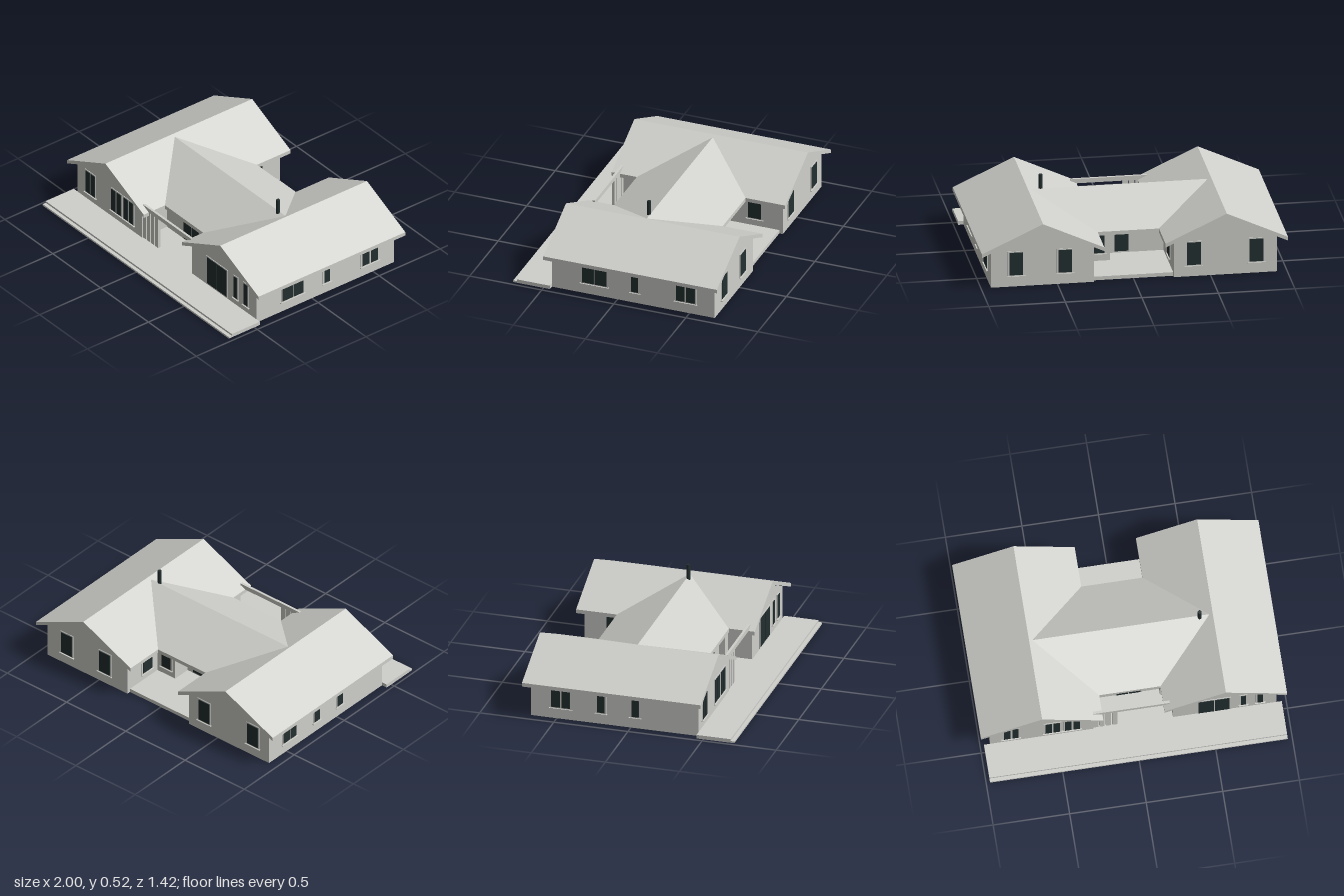
import * as THREE from 'three';

export function createModel() {
  const house = new THREE.Group();
  house.name = 'house';
  const plaster = new THREE.MeshStandardMaterial({ color: 0xcfcfcb });
  plaster.name = 'light grey';
  const glass = new THREE.MeshStandardMaterial({ color: 0x232f2f });
  glass.name = 'dark glass';

  const add = (name, geo, mat = plaster, parent = house) => {
    const m = new THREE.Mesh(geo, mat);
    m.name = name;
    parent.add(m);
    return m;
  };
  // Box given by its extents along each axis
  const block = (name, x0, x1, y0, y1, z0, z1, mat, parent) => {
    const m = add(name, new THREE.BoxGeometry(x1 - x0, y1 - y0, z1 - z0), mat, parent);
    m.position.set((x0 + x1) / 2, (y0 + y1) / 2, (z0 + z1) / 2);
    return m;
  };
  // Outline in x, y pushed along z
  const prism = (name, points, z0, z1) => {
    const shape = new THREE.Shape(points.map(([x, y]) => new THREE.Vector2(x, y)));
    const geo = new THREE.ExtrudeGeometry(shape, { depth: z1 - z0, bevelEnabled: false });
    geo.translate(0, 0, z0);
    return add(name, geo);
  };
  const chevron = (c, half, eave, ridge, t) => [
    [c - half, eave - t], [c, ridge - t], [c + half, eave - t],
    [c + half, eave], [c, ridge], [c - half, eave],
  ];

  // Two gabled wings
  for (const s of [-1, 1]) {
    const side = s > 0 ? 'left' : 'right';
    const outline = [[0.26, 0], [0.935, 0], [0.935, 0.25], [0.6, 0.405], [0.26, 0.25]];
    const pts = outline.map(([x, y]) => [x * s, y]);
    prism(side + 'WingWalls', s > 0 ? pts : pts.reverse(), -0.675, 0.455);
    prism(side + 'WingRoof', chevron(0.6 * s, 0.4, 0.25, 0.435, 0.026), -0.715, 0.49);
  }

  // Central hall, with a recess at the back
  block('hallWalls', -0.27, 0.27, 0, 0.25, -0.25, 0.25);
  block('hallRearRoom', 0.11, 0.27, 0, 0.25, -0.375, -0.25);
  block('hallFrontCorner', 0.2, 0.27, 0, 0.25, 0.25, 0.29);
  const hallRoof = prism('hallRoof', chevron(-0.0625, 0.3775, 0.25, 0.425, 0.026), -0.575, 0.575);
  hallRoof.geometry.translate(0.0625, 0, 0);
  hallRoof.rotation.y = Math.PI / 2;
  hallRoof.position.z = -0.0625;

  // Ground slabs and step
  block('frontTerrace', -0.975, 0.97, 0, 0.025, 0.455, 0.685);
  block('frontStep', -0.975, 0.97, 0, 0.012, 0.685, 0.71);
  block('courtFloor', -0.265, 0.265, 0, 0.025, 0.25, 0.456);
  block('rearTerrace', -0.265, 0.265, 0, 0.025, -0.65, -0.25);

  // Beam across the court and its board screen
  block('courtBeam', -0.26, 0.24, 0.25, 0.28, 0.431, 0.448);
  for (let i = 0; i < 4; i++) {
    const x = -0.261 + i * 0.042;
    block('screenBoard', x, x + 0.034, 0.025, 0.25, 0.431, 0.448);
  }

  // Flue
  const flue = add('flue', new THREE.CylinderGeometry(0.0125, 0.0125, 0.14, 16), glass);
  flue.position.set(0.513, 0.45, -0.053);

  // Windows: each opening is a list of panes [from, to] measured along the wall
  const window = (wall, at, panes, y0 = 0.08, y1 = 0.235, sill = true) => {
    const g = new THREE.Group();
    g.name = y0 < 0.06 ? 'glassDoor' : 'window';
    const lo = panes[0][0], hi = panes[panes.length - 1][1];
    block('frame', lo - 0.01, hi + 0.01, y0 - 0.008, y1 + 0.008, -0.002, 0.004, plaster, g);
    for (const [a, b] of panes) block('pane', a, b, y0, y1, 0, 0.007, glass, g);
    if (sill) block('sill', lo - 0.016, hi + 0.016, y0 - 0.012, y0 - 0.007, 0, 0.012, plaster, g);
    const turn = { front: 0, back: Math.PI, left: Math.PI / 2, right: -Math.PI / 2 }[wall];
    g.rotation.y = turn;
    g.position.set(Math.sin(turn) * at, 0, Math.cos(turn) * at);
    house.add(g);
  };

  // Front
  window('front', 0.455, [[-0.845, -0.802], [-0.79, -0.75]], 0.08, 0.24);
  window('front', 0.455, [[-0.575, -0.532], [-0.52, -0.478]], 0.08, 0.24);
  window('front', 0.455, [[-0.447, -0.403], [-0.39, -0.35]], 0.08, 0.24);
  window('front', 0.455, [[0.425, 0.525], [0.532, 0.628]], 0.04, 0.24, false);
  window('front', 0.455, [[0.704, 0.736]], 0.08, 0.24);
  window('front', 0.455, [[0.81, 0.847]], 0.08, 0.24);
  window('front', 0.25, [[-0.078, -0.004], [0.004, 0.078]], 0.036, 0.223, false);

  // Back: along the wall runs toward -x
  for (const x of [0.77, 0.45, -0.39, -0.8]) window('back', 0.675, [[-x - 0.045, -x + 0.045]]);
  window('back', 0.375, [[-0.22, -0.145]], 0.08, 0.22);
  window('back', 0.25, [[-0.06, 0.03]], 0.036, 0.22, false);

  // Left side: along the wall runs toward -z
  window('left', 0.935, [[-0.245, -0.163], [-0.155, -0.075]]);
  window('left', 0.935, [[0.098, 0.144]]);
  window('left', 0.935, [[0.41, 0.468], [0.48, 0.538]]);

  // Right side: along the wall runs toward +z
  window('right', 0.935, [[-0.535, -0.475], [-0.465, -0.41]]);
  window('right', 0.935, [[-0.225, -0.175]]);
  window('right', 0.935, [[0.005, 0.055]]);

  // Inner walls facing the rear terrace
  window('right', -0.26, [[-0.525, -0.435]], 0.08, 0.22);
  window('left', -0.26, [[0.435, 0.525]], 0.08, 0.22);

  return house;
}
